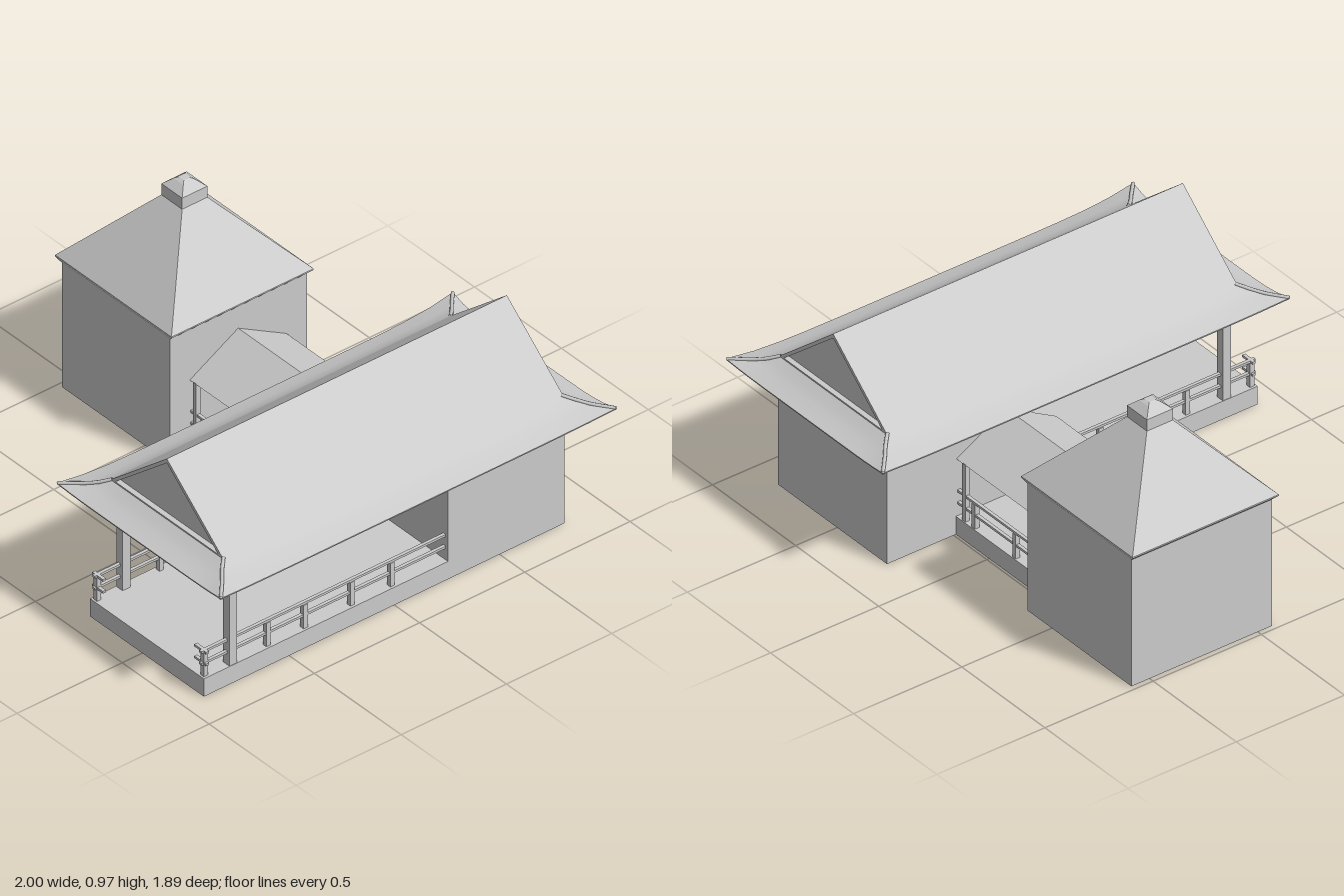
import * as THREE from 'three';
import { toCreasedNormals } from 'three/addons/utils/BufferGeometryUtils.js';

const mat = new THREE.MeshStandardMaterial({ color: 0xcccccc, side: THREE.DoubleSide });

function add(parent, geo, name) {
  const m = new THREE.Mesh(geo, mat);
  m.name = name;
  parent.add(m);
  return m;
}

// box given by its limits; skip lists faces to leave open (0..5 = +x -x +y -y +z -z)
function box(parent, name, x0, x1, y0, y1, z0, z1, skip = []) {
  const g = new THREE.BoxGeometry(x1 - x0, y1 - y0, z1 - z0);
  g.setIndex([...g.index.array].filter((_, i) => !skip.includes(Math.floor(i / 6))));
  g.clearGroups();
  g.translate((x0 + x1) / 2, (y0 + y1) / 2, (z0 + z1) / 2);
  return add(parent, g, name);
}

// rectangular ring of points; flare pushes the corners out and up
function ring([hx, hz, y, flare = 0], n) {
  const c = [[1, 1], [1, -1], [-1, -1], [-1, 1]];
  const pts = [];
  for (let s = 0; s < 4; s++) {
    const a = c[s], b = c[(s + 1) % 4];
    for (let i = 0; i < n; i++) {
      const t = i / n;
      const k = flare * Math.pow(Math.abs(2 * t - 1), 7);
      pts.push([
        (a[0] + (b[0] - a[0]) * t) * (hx + k * 0.8), y + k,
        (a[1] + (b[1] - a[1]) * t) * (hz + k * 0.6),
      ]);
    }
  }
  return pts;
}

// skin a stack of rings, listed from the top down
function loft(rings, n = 1, crease = 0.4) {
  const pos = [], idx = [], N = 4 * n;
  rings.forEach(r => ring(r, n).forEach(p => pos.push(...p)));
  for (let r = 0; r < rings.length - 1; r++) {
    for (let i = 0; i < N; i++) {
      const a = r * N + i, b = r * N + (i + 1) % N;
      idx.push(a, a + N, b, a + N, b + N, b);
    }
  }
  const g = new THREE.BufferGeometry();
  g.setAttribute('position', new THREE.Float32BufferAttribute(pos, 3));
  g.setIndex(idx);
  return toCreasedNormals(g, crease);
}

// triangular outline with its base at y
function triangle(Type, half, y, peak) {
  const s = new Type();
  s.moveTo(-half, y);
  s.lineTo(half, y);
  s.lineTo(0, peak);
  s.closePath();
  return s;
}

// post and two rails; axis is 'x' or 'z', at is the fixed coordinate
function railing(parent, name, axis, at, from, to, posts) {
  const g = new THREE.Group();
  g.name = name;
  const bar = (n, a, b, y0, y1, w) => axis === 'x'
    ? box(g, n, a, b, y0, y1, at - w, at + w)
    : box(g, n, at - w, at + w, y0, y1, a, b);
  for (const y of [0.132, 0.185]) bar('rail', from, to, y, y + 0.01, 0.007);
  for (const p of posts) bar('railPost', p - 0.01, p + 0.01, 0.08, 0.185, 0.01);
  parent.add(g);
}

function createTower() {
  const g = new THREE.Group();
  g.name = 'tower';
  g.position.set(-0.667, 0, -0.259);
  box(g, 'towerBody', -0.312, 0.312, 0, 0.565, -0.325, 0.325);
  add(g, loft([
    [0.06, 0.06, 0.885], [0.335, 0.338, 0.588], [0.335, 0.338, 0.582], [0.312, 0.325, 0.56],
  ], 1, 0.1), 'towerRoof');
  add(g, loft([
    [0, 0, 0.97], [0.014, 0.014, 0.97], [0.028, 0.028, 0.963],
    [0.06, 0.06, 0.935], [0.06, 0.06, 0.88],
  ], 1, 0.1), 'towerCap');
  return g;
}

function createWalkway() {
  const g = new THREE.Group();
  g.name = 'walkway';
  box(g, 'walkwayFloor', -0.356, 0.2, 0, 0.08, -0.49, -0.025, [0, 1, 3]);
  // pitched roof running along x
  const roof = new THREE.ExtrudeGeometry(triangle(THREE.Shape, 0.23, 0.333, 0.462),
    { depth: 0.556, bevelEnabled: false });
  roof.rotateY(Math.PI / 2).translate(-0.356, 0, -0.257);
  add(g, roof, 'walkwayRoof');
  for (const z of [-0.038, -0.476]) {
    for (const x of [-0.329, 0.158]) {
      box(g, 'walkwayPost', x - 0.01, x + 0.01, 0.08, 0.335, z - 0.01, z + 0.01);
    }
    railing(g, 'walkwayRailing', 'x', z, -0.356, 0.2, [-0.145, 0.1]);
  }
  return g;
}

function createMainRoof() {
  const g = new THREE.Group();
  g.name = 'mainRoof';
  g.position.x = 0.524;
  // flared skirt, eave edge and flat underside
  add(g, loft([
    [0.325, 0.808, 0.572], [0.355, 0.838, 0.553, 0.003], [0.395, 0.872, 0.536, 0.008],
    [0.457, 0.93, 0.518, 0.019], [0.455, 0.928, 0.511, 0.019],
    [0.43, 0.9, 0.506, 0.006], [0.327, 0.8, 0.506], [0, 0, 0.506],
  ], 16), 'roofSkirt');
  // upper slopes, with a little thickness at the verge
  for (const s of [1, -1]) {
    const slope = new THREE.BufferGeometry();
    slope.setAttribute('position', new THREE.Float32BufferAttribute([
      0, 0.845, 0.808 * s, s * 0.325, 0.572, 0.808 * s,
      0, 0.845, -0.808 * s, s * 0.325, 0.572, -0.808 * s,
    ], 3));
    slope.setIndex([0, 1, 2, 1, 3, 2]);
    slope.computeVertexNormals();
    add(g, slope, 'upperSlope');

    // gable frame and recessed panel
    const frame = triangle(THREE.Shape, 0.325, 0.572, 0.845);
    frame.holes.push(triangle(THREE.Path, 0.296, 0.578, 0.826));
    const fg = new THREE.ExtrudeGeometry(frame, { depth: 0.03, bevelEnabled: false });
    fg.translate(0, 0, s > 0 ? 0.778 : -0.808);
    add(g, fg, 'gableFrame');
    const panel = new THREE.ShapeGeometry(triangle(THREE.Shape, 0.32, 0.572, 0.84));
    if (s < 0) panel.rotateY(Math.PI);
    panel.translate(0, 0, s * 0.785);
    add(g, panel, 'gablePanel');

    // raised ridges along the hips
    for (const t of [1, -1]) {
      const path = new THREE.CatmullRomCurve3([
        [0.32, 0.803, 0.574], [0.357, 0.84, 0.557], [0.401, 0.877, 0.545], [0.47, 0.939, 0.536],
      ].map(([x, z, y]) => new THREE.Vector3(x * t, y, z * s)));
      add(g, new THREE.TubeGeometry(path, 8, 0.008, 6), 'hipRidge');
    }
  }
  return g;
}

function createMainHall() {
  const g = new THREE.Group();
  g.name = 'mainHall';
  const x0 = 0.2, x1 = 0.855;
  box(g, 'room', x0, x1, 0, 0.506, -0.808, -0.255, [2, 3]);
  box(g, 'verandaFloor', x0, x1, 0, 0.08, -0.255, 0.905, [3, 5]);
  for (const side of [-1, 1]) {
    const x = side < 0 ? 0.22 : 0.835;
    box(g, 'pillar', x - 0.018, x + 0.018, 0.08, 0.506, 0.745, 0.782);
    box(g, 'lowerBeam', x - 0.012, x + 0.012, 0.462, 0.484, -0.255, 0.75);
    box(g, 'upperBeam', x - 0.015, x + 0.015, 0.498, 0.508, -0.255, 0.782);
    railing(g, 'sideRailing', 'z', x, side < 0 ? -0.01 : -0.255, 0.905,
      [0.887, 0.59, 0.413, 0.19, 0]);
    // short return at the front corner
    railing(g, 'frontRailing', 'x', 0.888, side < 0 ? x0 : 0.787, side < 0 ? 0.262 : x1, []);
  }
  box(g, 'frontBeam', 0.22, 0.835, 0.498, 0.508, 0.75, 0.78);
  g.add(createMainRoof());
  return g;
}

export function createModel() {
  const model = new THREE.Group();
  model.name = 'pavilion';
  model.add(createTower(), createWalkway(), createMainHall());
  return model;
}
